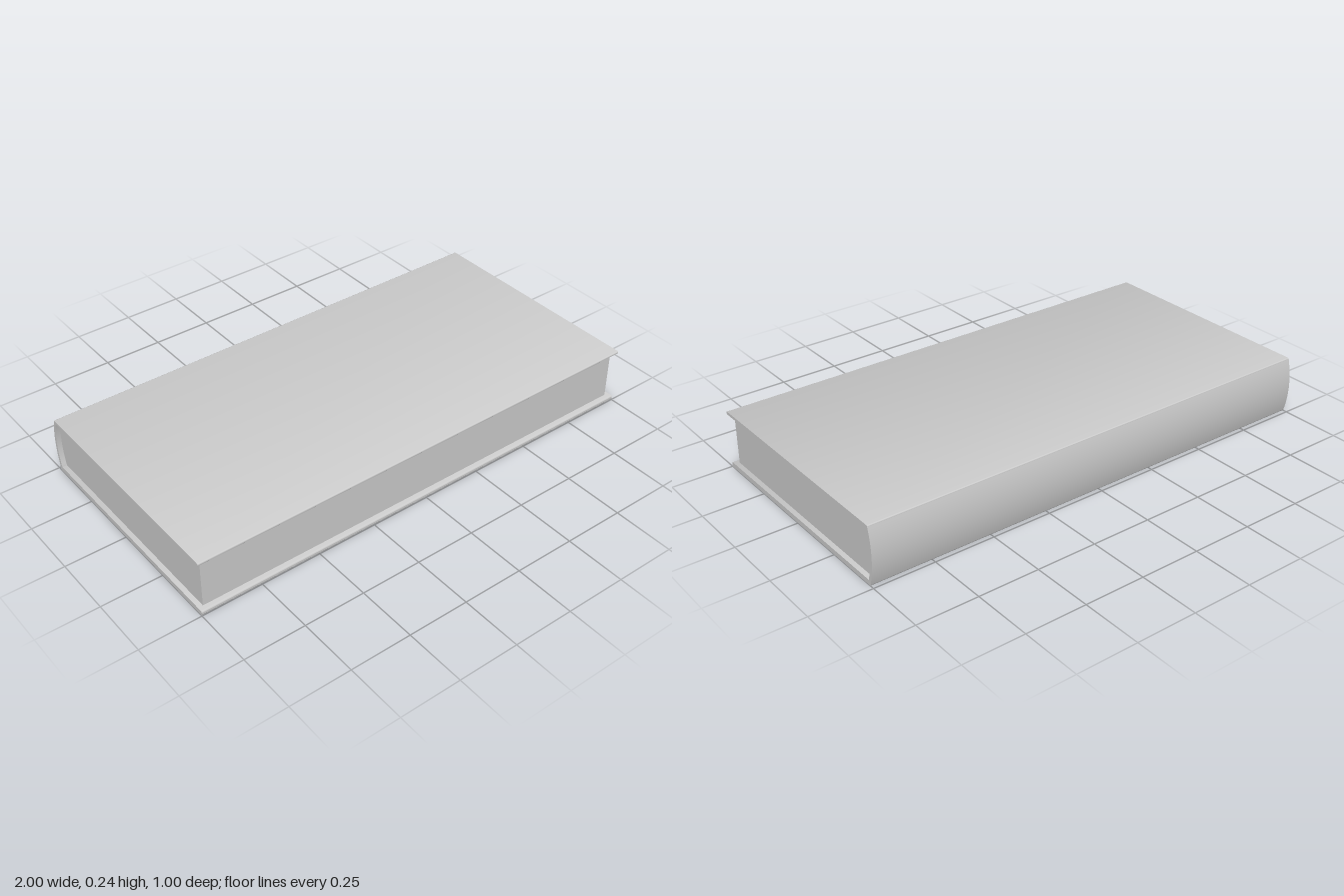
import * as THREE from 'three';
import { toCreasedNormals } from 'three/addons/utils/BufferGeometryUtils.js';

const material = new THREE.MeshStandardMaterial({ color: 0xcccccc });

// Extrudes a cross-section (horizontal axis = towards the spine, -z) along x
function extrudeAlongX(name, shape, length) {
  const geometry = new THREE.ExtrudeGeometry(shape, { depth: length, bevelEnabled: false, curveSegments: 20 });
  geometry.translate(0, 0, -length / 2);
  geometry.rotateY(Math.PI / 2);
  const mesh = new THREE.Mesh(toCreasedNormals(geometry, 0.6), material);
  mesh.name = name;
  return mesh;
}

// Flat board with softly rounded long edges
function boardShape(u0, u1, y0, y1, r) {
  const s = new THREE.Shape();
  s.moveTo(u0 + r, y0);
  s.lineTo(u1 - r, y0);
  s.absarc(u1 - r, y0 + r, r, -Math.PI / 2, 0);
  s.absarc(u1 - r, y1 - r, r, 0, Math.PI / 2);
  s.lineTo(u0 + r, y1);
  s.absarc(u0 + r, y1 - r, r, Math.PI / 2, Math.PI);
  s.absarc(u0 + r, y0 + r, r, Math.PI, Math.PI * 1.5);
  return s;
}

export function createModel() {
  const book = new THREE.Group();
  book.name = 'book';
  const bottom = 0.02, top = 0.228, height = 0.24, middle = height / 2;

  // Cover boards
  book.add(extrudeAlongX('bottomCover', boardShape(-0.5, 0.484, 0, bottom, 0.006), 2));
  book.add(extrudeAlongX('topCover', boardShape(-0.5, 0.484, top, height, 0.005), 2));

  // Curved spine
  const spine = new THREE.Shape();
  spine.moveTo(0.473, bottom);
  spine.lineTo(0.473, bottom - 0.01);
  spine.lineTo(0.484, 0.006);
  spine.quadraticCurveTo(0.516, middle, 0.484, height - 0.005);
  spine.lineTo(0.473, top + 0.006);
  spine.lineTo(0.473, top);
  spine.quadraticCurveTo(0.503, middle, 0.473, bottom);
  book.add(extrudeAlongX('spine', spine, 2));

  // Page block, rounded where it meets the spine
  const pages = new THREE.Shape();
  pages.moveTo(-0.477, bottom);
  pages.lineTo(0.473, bottom);
  pages.quadraticCurveTo(0.503, middle, 0.473, top);
  pages.lineTo(-0.477, top);
  pages.closePath();
  book.add(extrudeAlongX('pages', pages, 1.96));

  return book;
}
